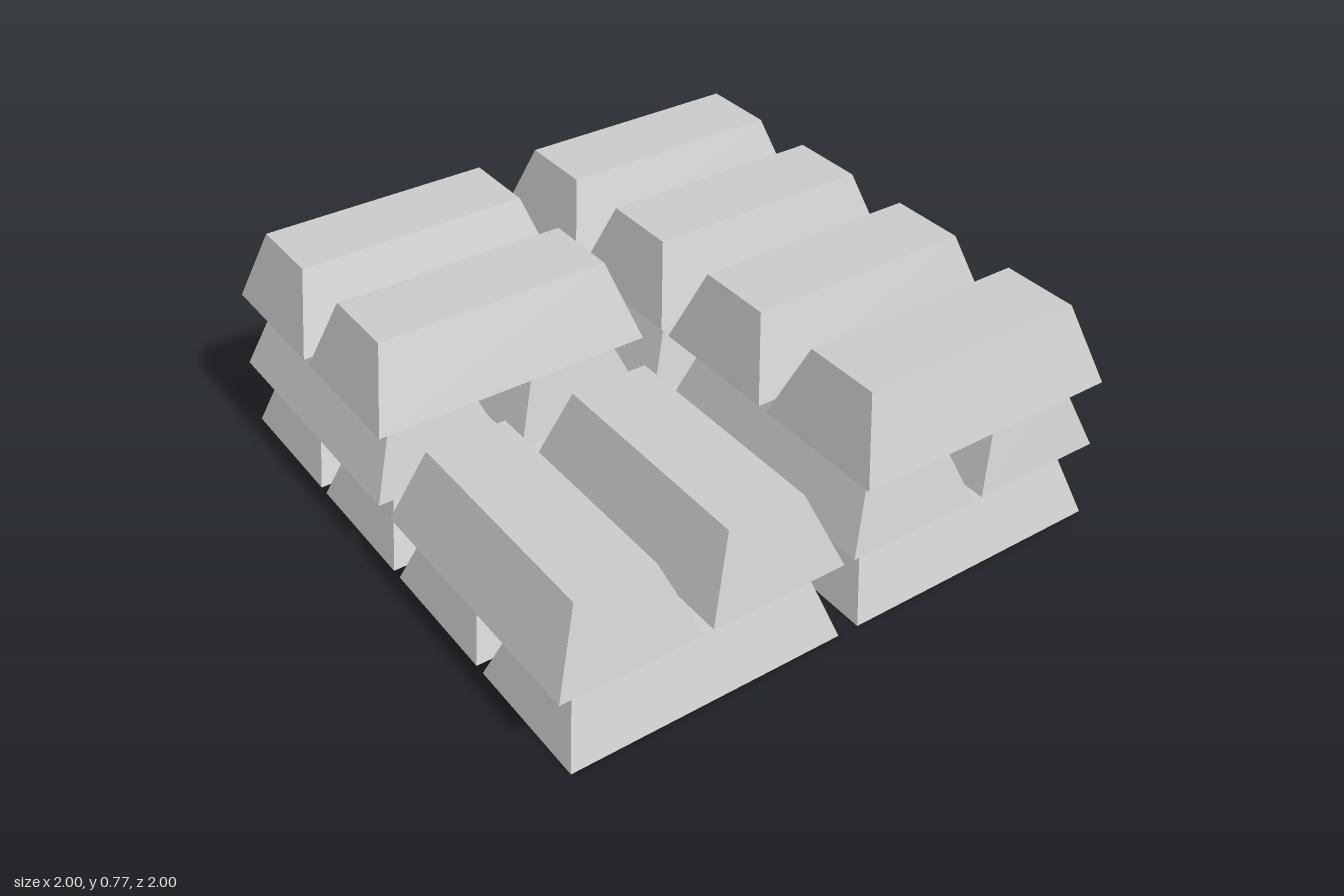
import * as THREE from 'three';

const BAR = { width: 0.472, length: 0.945, height: 0.2557, sideInset: 0.102, endInset: 0.076 };
const STACK_OFFSET = 0.509; // centre of each stack from the middle
const BAR_OFFSET = 0.254;   // centre of each bar from its stack's centre

// Bar lying along z with its base on y = 0: a box whose top is drawn inwards
function barGeometry() {
  const { width, length, height, sideInset, endInset } = BAR;
  const geo = new THREE.BoxGeometry(width, height, length);
  geo.translate(0, height / 2, 0);
  const pos = geo.attributes.position;
  for (let i = 0; i < pos.count; i++) {
    if (pos.getY(i) < height / 2) continue;
    pos.setX(i, pos.getX(i) - Math.sign(pos.getX(i)) * sideInset);
    pos.setZ(i, pos.getZ(i) - Math.sign(pos.getZ(i)) * endInset);
  }
  geo.computeVertexNormals();
  return geo;
}

export function createModel() {
  const model = new THREE.Group();
  model.name = 'ingotPile';
  const geometry = barGeometry();
  const material = new THREE.MeshStandardMaterial({ color: 0xcccccc, flatShading: true });

  // Four stacks; the front left one lacks its top layer
  const stacks = [
    { name: 'backRightStack', x: -1, z: -1, layers: 3 },
    { name: 'backLeftStack', x: 1, z: -1, layers: 3 },
    { name: 'frontRightStack', x: -1, z: 1, layers: 3 },
    { name: 'frontLeftStack', x: 1, z: 1, layers: 2 },
  ];

  for (const { name, x, z, layers } of stacks) {
    const stack = new THREE.Group();
    stack.name = name;
    stack.position.set(x * STACK_OFFSET, 0, z * STACK_OFFSET);

    // Pairs of bars, turned a quarter on every other layer
    for (let layer = 0; layer < layers; layer++) {
      const pair = new THREE.Group();
      pair.name = `layer${layer + 1}`;
      pair.position.y = layer * BAR.height;
      pair.rotation.y = layer % 2 ? Math.PI / 2 : 0;
      for (const side of [-1, 1]) {
        const bar = new THREE.Mesh(geometry, material);
        bar.name = 'ingot';
        bar.position.x = side * BAR_OFFSET;
        pair.add(bar);
      }
      stack.add(pair);
    }
    model.add(stack);
  }
  return model;
}
